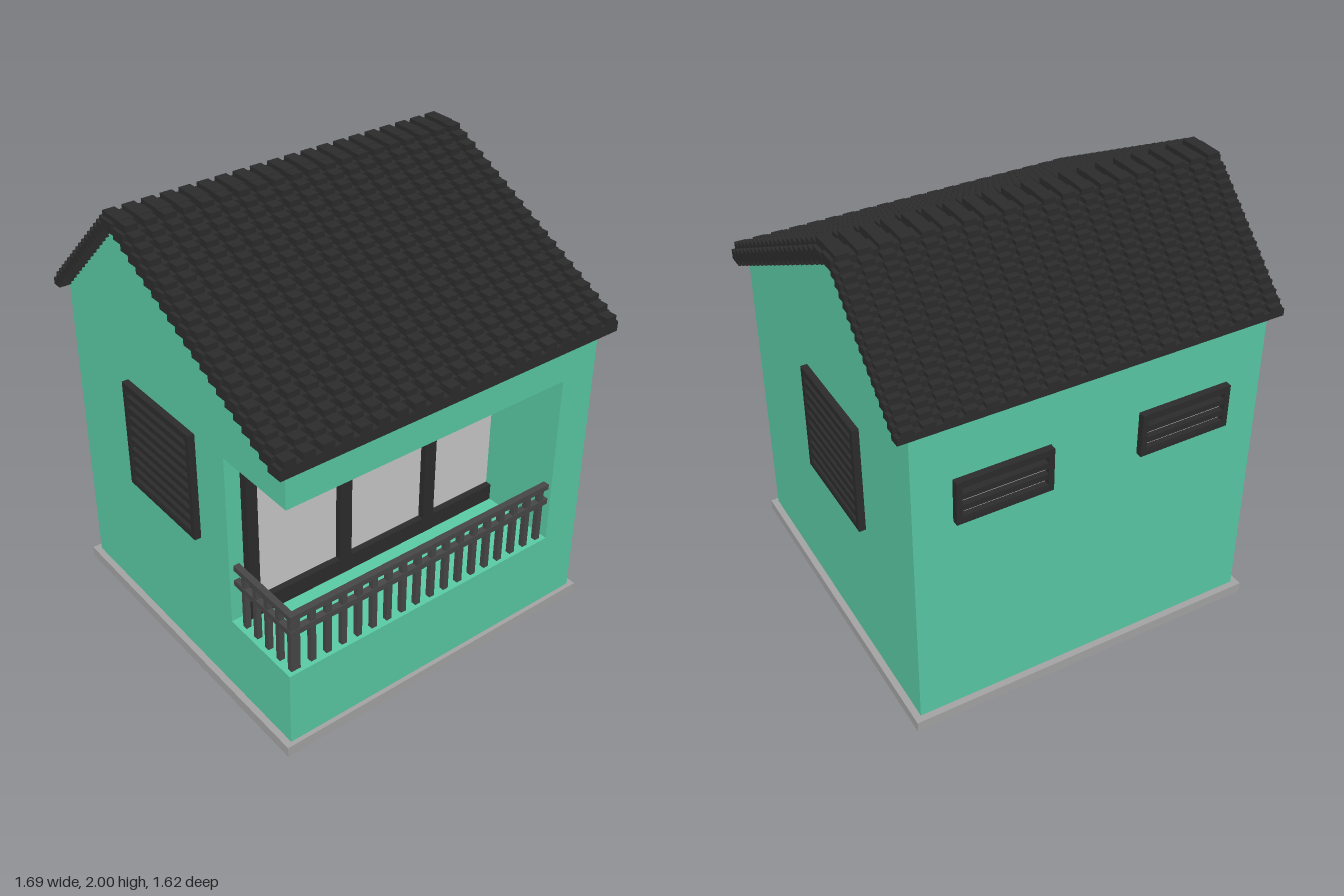
import * as THREE from 'three';
import { mergeGeometries } from 'three/addons/utils/BufferGeometryUtils.js';

const mat = (name, color) => Object.assign(new THREE.MeshStandardMaterial({ color }), { name });

// Box given by its minimum and maximum on each axis
function box(x0, x1, y0, y1, z0, z1) {
  return new THREE.BoxGeometry(x1 - x0, y1 - y0, z1 - z0)
    .translate((x0 + x1) / 2, (y0 + y1) / 2, (z0 + z1) / 2);
}

export function createModel() {
  const green = mat('wall green', 0x5acaa5);
  const dark = mat('charcoal', 0x2c2c2c);
  const railGrey = mat('railing grey', 0x474747);
  const pale = mat('pale glass', 0xc9c9c9);
  const stone = mat('base grey', 0xa4a4a4);
  const model = new THREE.Group();
  const add = (name, material, boxes, parent = model) => {
    const mesh = new THREE.Mesh(mergeGeometries(boxes), material);
    mesh.name = name;
    parent.add(mesh);
    return mesh;
  };

  // Base slab
  add('base', stone, [box(-0.82, 0.82, 0, 0.05, -0.81, 0.78)]);

  // Walls: side profiles of [z, y] extruded along x
  const wall = (name, points, x0, x1) => {
    const shape = new THREE.Shape(points.map(([z, y]) => new THREE.Vector2(-z, y)));
    const geo = new THREE.ExtrudeGeometry(shape, { depth: x1 - x0, bevelEnabled: false })
      .rotateY(Math.PI / 2).translate(x0, 0, 0);
    add(name, green, [geo]);
  };
  const gable = [[0.76, 1.43], [-0.3, 1.95], [-0.78, 1.5], [-0.78, 0.05], [0.76, 0.05]];
  const recess = [[0.76, 0.41], [0.36, 0.41], [0.36, 1.23], [0.76, 1.23]];
  wall('solidWall', gable, 0.61, 0.79);
  wall('balconyWall', [...gable, ...recess], -0.79, 0.61);

  // Roof: overlapping stepped rows, each a slab with raised tiles
  const tiles = [];
  const columns = 20, pitch = 1.69 / columns;
  const tileRow = (z0, z1, y0, y1, y2, tz0 = z0, tz1 = z1) => {
    tiles.push(box(-0.845, 0.845, y0, y1, z0, z1));
    for (let c = 0; c < columns; c++) {
      const x = -0.845 + pitch * (c + 0.5);
      tiles.push(box(x - 0.027, x + 0.027, y1 - 0.005, y2, tz0, tz1));
    }
  };
  for (let i = 0; i < 20; i++) {
    const z = 0.81 - i * 0.0515, y = 1.41 + i * 0.0268;
    tileRow(z - 0.075, z, y, y + 0.046, y + 0.078);
  }
  for (let i = 0; i < 16; i++) {
    const z = -0.81 + i * 0.0294, y = 1.49 + i * 0.0284;
    tileRow(z, z + 0.045, y, y + 0.032, y + 0.052);
  }
  tileRow(-0.33, -0.25, 1.935, 1.98, 2, -0.34, -0.22);
  add('roof', dark, tiles);

  // Louvred window, facing +z, centred on its own origin at the wall surface
  const louvre = (name, w, h, slots, blindSlots) => {
    const group = new THREE.Group();
    group.name = name;
    const hw = w / 2, hh = h / 2, d = 0.03, b = 0.025;
    const frame = [
      box(-hw, -hw + b, -hh, hh, 0, d), box(hw - b, hw, -hh, hh, 0, d),
      box(-hw, hw, hh - b, hh, 0, d), box(-hw, hw, -hh, -hh + b, 0, d),
    ];
    const step = (h - 0.04) / slots;
    for (let i = 0; i <= slots; i++) {
      const y = -hh + 0.02 + i * step;
      frame.push(box(-hw + b, hw - b, Math.max(y - step / 4, -hh + 0.001), Math.min(y + step / 4, hh - 0.001), 0, d - 0.002));
    }
    add(name + 'Frame', dark, frame, group);
    add(name + 'Glass', pale, [box(-hw + b, hw - b, -hh + b, hh - b - blindSlots * step, 0, 0.003)], group);
    model.add(group);
    return group;
  };
  for (const s of [1, -1]) {
    const side = louvre(s > 0 ? 'leftWindow' : 'rightWindow', 0.5, 0.51, 9, 0);
    side.position.set(s * 0.79, 0.975, -0.09);
    side.rotation.y = s * Math.PI / 2;
    const back = louvre(s > 0 ? 'backLeftWindow' : 'backRightWindow', 0.42, 0.2, 3, 1);
    back.position.set(s * 0.41, 1.13, -0.78);
    back.rotation.y = Math.PI;
  }

  // Glazed balcony doors
  add('doorGlass', pale, [box(-0.7, 0.609, 0.42, 1.14, 0.36, 0.37)]);
  add('doorFrame', dark, [
    box(-0.72, -0.67, 0.41, 1.155, 0.36, 0.4),
    box(-0.26, -0.2, 0.41, 1.14, 0.36, 0.4),
    box(0.2, 0.26, 0.41, 1.14, 0.36, 0.4),
    box(-0.71, 0.609, 1.13, 1.155, 0.36, 0.399),
    box(-0.71, 0.609, 0.41, 0.49, 0.36, 0.399),
  ]);

  // Ceiling lamp
  add('ceilingLamp', pale, [box(-0.2, 0.2, 1.208, 1.235, 0.53, 0.59)]);

  // Balcony railing along the front and the open side
  const rails = [];
  for (const [y0, y1] of [[0.67, 0.695], [0.593, 0.62]]) {
    rails.push(box(-0.77, 0.61, y0, y1, 0.715, 0.745));
    rails.push(box(-0.77, -0.742, y0, y1, 0.36, 0.715));
  }
  for (let x = -0.736; x < 0.6; x += 0.077) rails.push(box(x - 0.013, x + 0.013, 0.41, 0.68, 0.718, 0.742));
  for (let z = 0.73; z > 0.38; z -= 0.077) rails.push(box(-0.768, -0.744, 0.41, 0.68, z - 0.012, z + 0.012));
  add('railing', railGrey, rails);

  return model;
}
